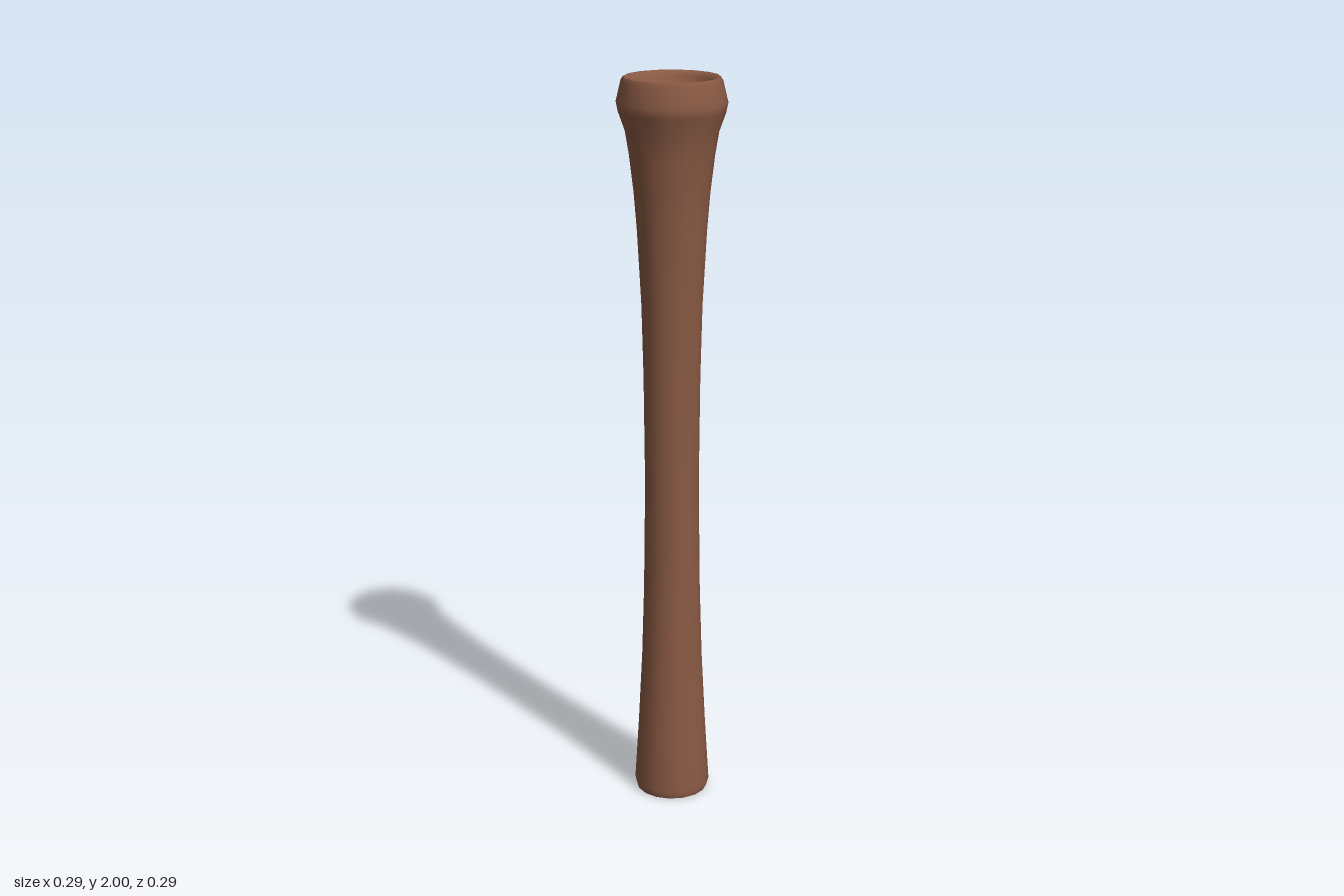
import * as THREE from 'three';

const SIDES = 16;

function lathe(name, profile, material) {
  const points = profile.map(([r, y]) => new THREE.Vector2(r, y));
  const mesh = new THREE.Mesh(new THREE.LatheGeometry(points, SIDES), material);
  mesh.name = name;
  return mesh;
}

export function createModel() {
  const group = new THREE.Group();
  group.name = 'flaredPost';
  const wood = new THREE.MeshStandardMaterial({ color: 0x8a5a44 });

  // Slim waisted shaft, flaring into the collar at the top
  group.add(lathe('shaft', [
    [0.098, 0], [0.104, 0.02], [0.093, 0.2], [0.083, 0.4], [0.077, 0.6],
    [0.073, 0.9], [0.076, 1.2], [0.081, 1.4], [0.092, 1.6], [0.1, 1.7],
    [0.112, 1.8], [0.122, 1.86], [0.14, 1.91], [0.145, 1.935], [0.132, 1.99], [0.126, 2],
  ], wood));

  // Rounded rim dropping into a shallow dish
  group.add(lathe('dishedTop', [
    [0.126, 2], [0.113, 1.998], [0.104, 1.985], [0.096, 1.96], [0.075, 1.945], [0, 1.935],
  ], wood));

  // Flat underside
  group.add(lathe('base', [[0, 0], [0.098, 0]], wood));

  return group;
}
